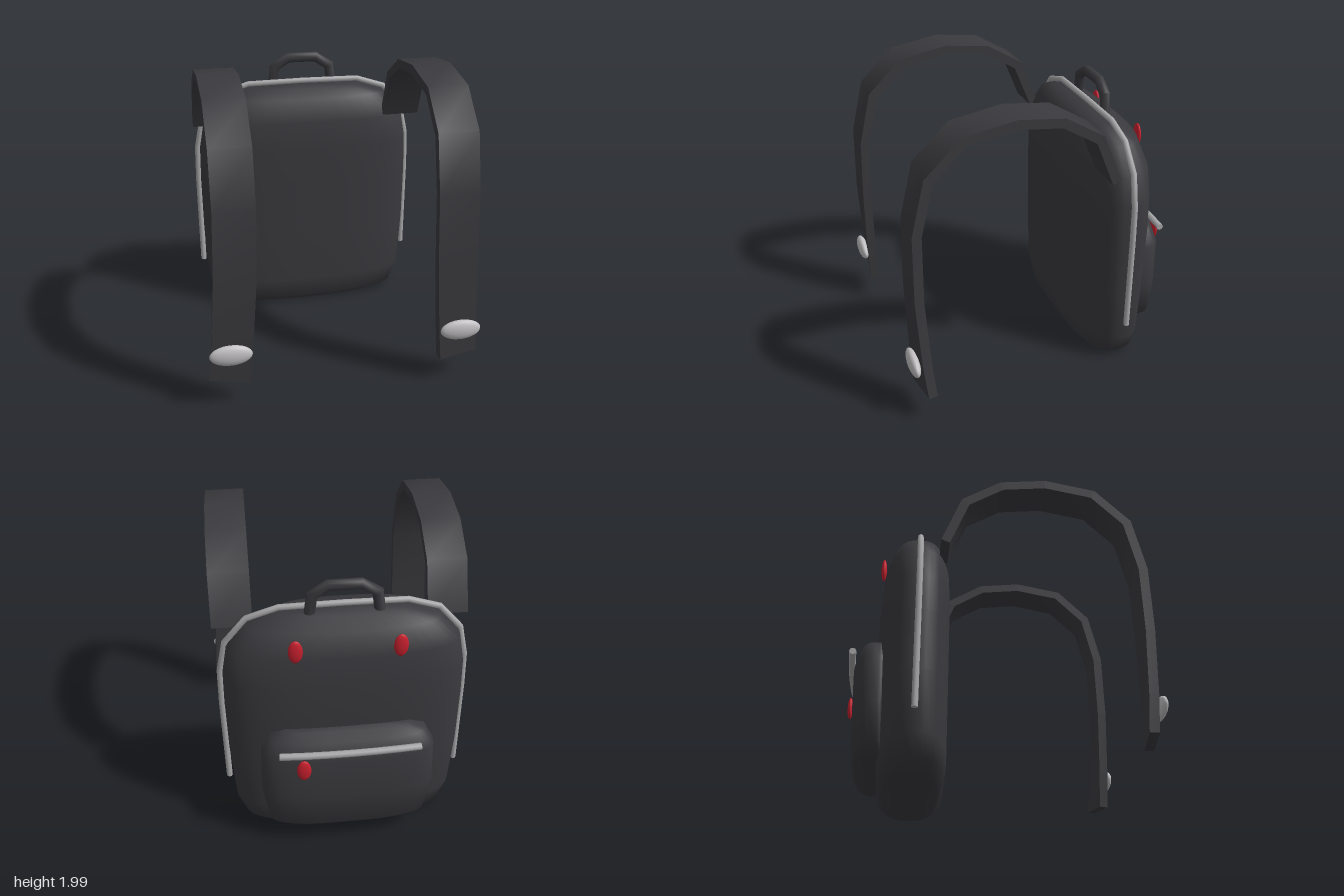
import * as THREE from 'three';
import { toCreasedNormals } from 'three/addons/utils/BufferGeometryUtils.js';

const V = (x, y, z) => new THREE.Vector3(x, y, z);

// Closed solid through a list of equal-length rings, capped at both ends.
function loft(rings, crease = 1.05) {
  const n = rings[0].length;
  const pts = rings.flat();
  const centre = (ring) => ring.reduce((s, p) => s.add(p), V(0, 0, 0)).divideScalar(n);
  const a = pts.push(centre(rings[0])) - 1;
  const b = pts.push(centre(rings[rings.length - 1])) - 1;
  const last = (rings.length - 1) * n;
  let tris = [];
  for (let i = 0; i < n; i++) {
    const j = (i + 1) % n;
    for (let r = 0; r < last; r += n) {
      tris.push([r + i, r + j, r + n + j], [r + i, r + n + j, r + n + i]);
    }
    tris.push([a, j, i], [b, last + i, last + j]);
  }
  // Turn the faces outward if the enclosed volume is negative.
  const volume = tris.reduce((s, [p, q, r]) =>
    s + pts[p].clone().sub(pts[a]).dot(pts[q].clone().sub(pts[a]).cross(pts[r].clone().sub(pts[a]))), 0);
  if (volume < 0) tris = tris.map(([p, q, r]) => [p, r, q]);
  const geo = new THREE.BufferGeometry().setFromPoints(pts);
  geo.setIndex(tris.flat());
  return toCreasedNormals(geo, crease);
}

// Sweep a section [across, out] along mitred points; axis(i) is the across direction.
function sweep(points, axis, section) {
  const rings = points.map((p, i) => {
    const before = p.clone().sub(points[Math.max(i - 1, 0)]).normalize();
    const after = points[Math.min(i + 1, points.length - 1)].clone().sub(p).normalize();
    const t = before.clone().add(after).normalize();
    const across = axis(i).clone();
    across.addScaledVector(t, -across.dot(t)).normalize();
    const out = t.clone().cross(across);
    const miter = 1 / Math.max(0.6, t.dot(before.lengthSq() ? before : after));
    return section.map(([u, v]) => p.clone().addScaledVector(across, u).addScaledVector(out, v * miter));
  });
  return loft(rings);
}

const roundSection = (r, n = 8) => Array.from({ length: n }, (_, i) =>
  [r * Math.cos((i / n) * Math.PI * 2), r * Math.sin((i / n) * Math.PI * 2)]);

// Horizontal superellipse ring with separate front and back depth.
function bagRing([y, halfWidth, front, back], mid, power) {
  const bend = (v) => Math.sign(v) * Math.abs(v) ** power;
  return Array.from({ length: 40 }, (_, i) => {
    const t = (i / 40) * Math.PI * 2;
    const s = bend(Math.sin(t));
    return V(halfWidth * bend(Math.cos(t)), y, mid + s * (s > 0 ? front - mid : mid - back));
  });
}

export function createModel() {
  const group = new THREE.Group();
  const material = (name, color) => {
    const m = new THREE.MeshStandardMaterial({ color });
    m.name = name;
    return m;
  };
  const fabric = material('charcoal fabric', 0x3a3a3e);
  const trim = material('grey trim', 0xa6a6a8);
  const metal = material('light buckle', 0xc2c0c2);
  const red = material('red pull', 0xc8202e);

  const add = (name, geo, mat) => {
    const mesh = new THREE.Mesh(geo, mat);
    mesh.name = name;
    group.add(mesh);
    return mesh;
  };
  const ellipsoid = (name, mat, position, radii) => {
    const mesh = add(name, new THREE.SphereGeometry(1, 20, 14), mat);
    mesh.position.set(...position);
    mesh.scale.set(...radii);
    return mesh;
  };

  // Main bag: height, half width, front z, back z
  const bodyRings = [
    [0.01, 0.54, -0.36, -0.70], [0.06, 0.69, -0.315, -0.75], [0.2, 0.745, -0.305, -0.76],
    [0.6, 0.77, -0.305, -0.775], [1.0, 0.775, -0.305, -0.785], [1.25, 0.77, -0.305, -0.78],
    [1.45, 0.735, -0.312, -0.765], [1.61, 0.60, -0.35, -0.72], [1.68, 0.40, -0.41, -0.63],
  ];
  add('bagBody', loft(bodyRings.map((r) => bagRing(r, -0.53, 0.72))), fabric);

  // Front pocket
  const pocketRings = [
    [0.15, 0.44, -0.7, -0.88], [0.2, 0.53, -0.7, -0.917], [0.45, 0.57, -0.7, -0.925],
    [0.77, 0.56, -0.7, -0.932], [0.89, 0.50, -0.7, -0.895], [0.93, 0.40, -0.7, -0.83],
  ];
  add('pocket', loft(pocketRings.map((r) => bagRing(r, -0.76, 0.6))), fabric);

  // Piping over the top and down both sides
  const half = [[0.40, 1.70], [0.60, 1.635], [0.74, 1.47], [0.785, 1.25], [0.79, 1.0], [0.785, 0.34]];
  const piping = [
    ...half.map(([x, y]) => V(-x, y, -0.53)).reverse(),
    V(0, 1.705, -0.53),
    ...half.map(([x, y]) => V(x, y, -0.53)),
  ];
  add('piping', sweep(piping, () => V(0, 0, 1), roundSection(0.02)), trim);

  // Carry handle
  const handle = [[-0.22, 1.64], [-0.2, 1.8], [-0.1, 1.865], [0.1, 1.865], [0.2, 1.8], [0.22, 1.64]];
  add('handle', sweep(handle.map(([x, y]) => V(x, y, -0.575)), () => V(0, 0, 1), roundSection(0.035)), fabric);

  // Pocket zip
  const zip = [-0.45, -0.3, -0.15, 0, 0.15, 0.3, 0.45].map((x) => V(x, 0.845, -0.948 + 0.075 * x * x));
  add('pocketZip', sweep(zip, () => V(0, 1, 0), roundSection(0.023)), trim);

  // Zip pulls
  ellipsoid('pocketPull', red, [0.3, 0.75, -0.97], [0.045, 0.08, 0.019]);
  for (const side of [-1, 1]) {
    ellipsoid('bagPull', red, [side * 0.32, 1.53, -0.768], [0.045, 0.08, 0.019]);
  }

  // Shoulder straps: x, y, z and sideways twist
  const strapPath = [
    [0.69, 1.475, -0.375, 0], [0.69, 1.785, -0.25, 0], [0.69, 1.93, -0.01, 0],
    [0.69, 1.965, 0.28, 0], [0.69, 1.91, 0.6, 0], [0.69, 1.7, 0.82, 0],
    [0.69, 1.35, 0.905, 0], [0.702, 0.9, 0.917, -0.02], [0.73, 0.45, 0.905, -0.08],
    [0.752, 0.19, 0.89, -0.14],
  ];
  const strapSection = [[-0.13, -0.03], [0.13, -0.03], [0.13, 0.03], [-0.13, 0.03]];
  for (const side of [-1, 1]) {
    const label = side > 0 ? 'left' : 'right';
    const points = strapPath.map(([x, y, z]) => V(side * x, y, z));
    add(label + 'Strap', sweep(points, (i) => V(side, 0, strapPath[i][3]), strapSection), fabric);
    ellipsoid(label + 'Buckle', metal, [side * 0.745, 0.405, 0.958], [0.135, 0.07, 0.036]);
  }
  return group;
}
